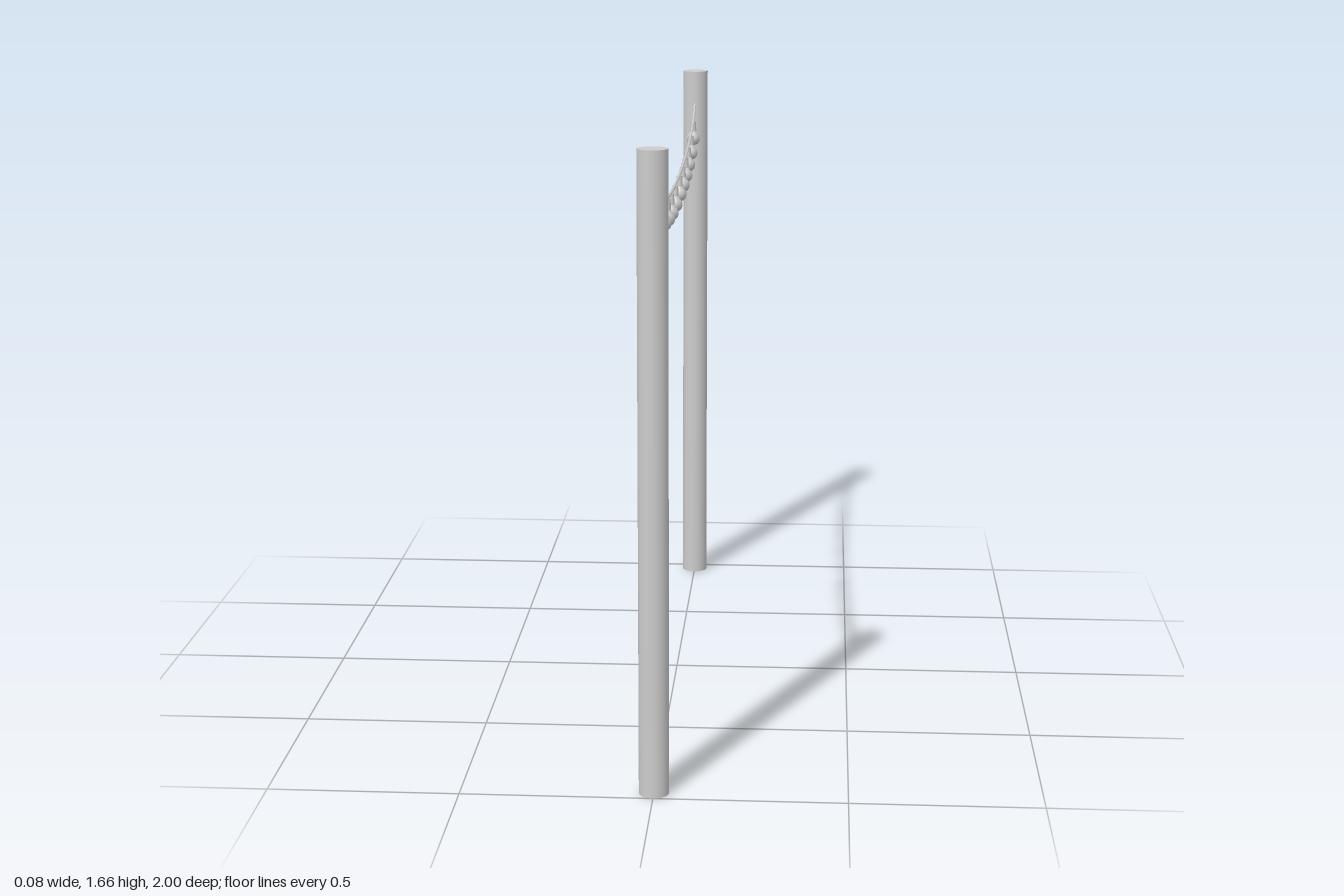
import * as THREE from 'three';

const POLE_HEIGHT = 1.665, POLE_RADIUS = 0.039, POLE_Z = 0.961;

export function createModel() {
  const group = new THREE.Group();
  const grey = new THREE.MeshStandardMaterial({ color: 0xcccccc });
  const add = (parent, name, geometry) => {
    const mesh = new THREE.Mesh(geometry, grey);
    mesh.name = name;
    parent.add(mesh);
    return mesh;
  };

  // Two upright poles
  const poleGeometry = new THREE.CylinderGeometry(POLE_RADIUS, POLE_RADIUS, POLE_HEIGHT, 32);
  for (const [name, side] of [['frontPole', 1], ['backPole', -1]]) {
    add(group, name, poleGeometry).position.set(0, POLE_HEIGHT / 2, side * POLE_Z);
  }

  // Sagging cable, mirrored about the middle
  const half = [[0.935, 1.568], [0.89, 1.543], [0.83, 1.519], [0.69, 1.49], [0.56, 1.473], [0.41, 1.461], [0.26, 1.453]];
  const points = [
    ...half.map(([z, y]) => new THREE.Vector3(0, y, z)),
    new THREE.Vector3(0, 1.448, 0),
    ...half.toReversed().map(([z, y]) => new THREE.Vector3(0, y, -z)),
  ];
  const curve = new THREE.CatmullRomCurve3(points, false, 'centripetal');
  add(group, 'cable', new THREE.TubeGeometry(curve, 96, 0.004, 8));

  // Height of the cable at a given z
  const samples = curve.getPoints(400);
  const cableY = (z) => samples.reduce((a, b) => (Math.abs(b.z - z) < Math.abs(a.z - z) ? b : a)).y;

  // Hanging lamps: a socket with a pear-shaped bulb
  const socketGeometry = new THREE.CylinderGeometry(0.008, 0.01, 0.032, 16);
  const profile = [
    [0, -0.077], [0.007, -0.0757], [0.0135, -0.072], [0.0185, -0.066], [0.0208, -0.058],
    [0.02, -0.0495], [0.0165, -0.0425], [0.0115, -0.0365], [0.009, -0.03], [0, -0.03],
  ].map(([r, y]) => new THREE.Vector2(r, y));
  const bulbGeometry = new THREE.LatheGeometry(profile, 20);
  const lampZ = [0.83, 0.69, 0.557, 0.408, 0.262, 0.08, -0.111, -0.266, -0.412, -0.557, -0.696, -0.831];
  for (const z of lampZ) {
    const lamp = new THREE.Group();
    lamp.name = 'lamp';
    lamp.position.set(0, cableY(z), z);
    add(lamp, 'socket', socketGeometry).position.y = -0.018;
    add(lamp, 'bulb', bulbGeometry);
    group.add(lamp);
  }
  return group;
}
